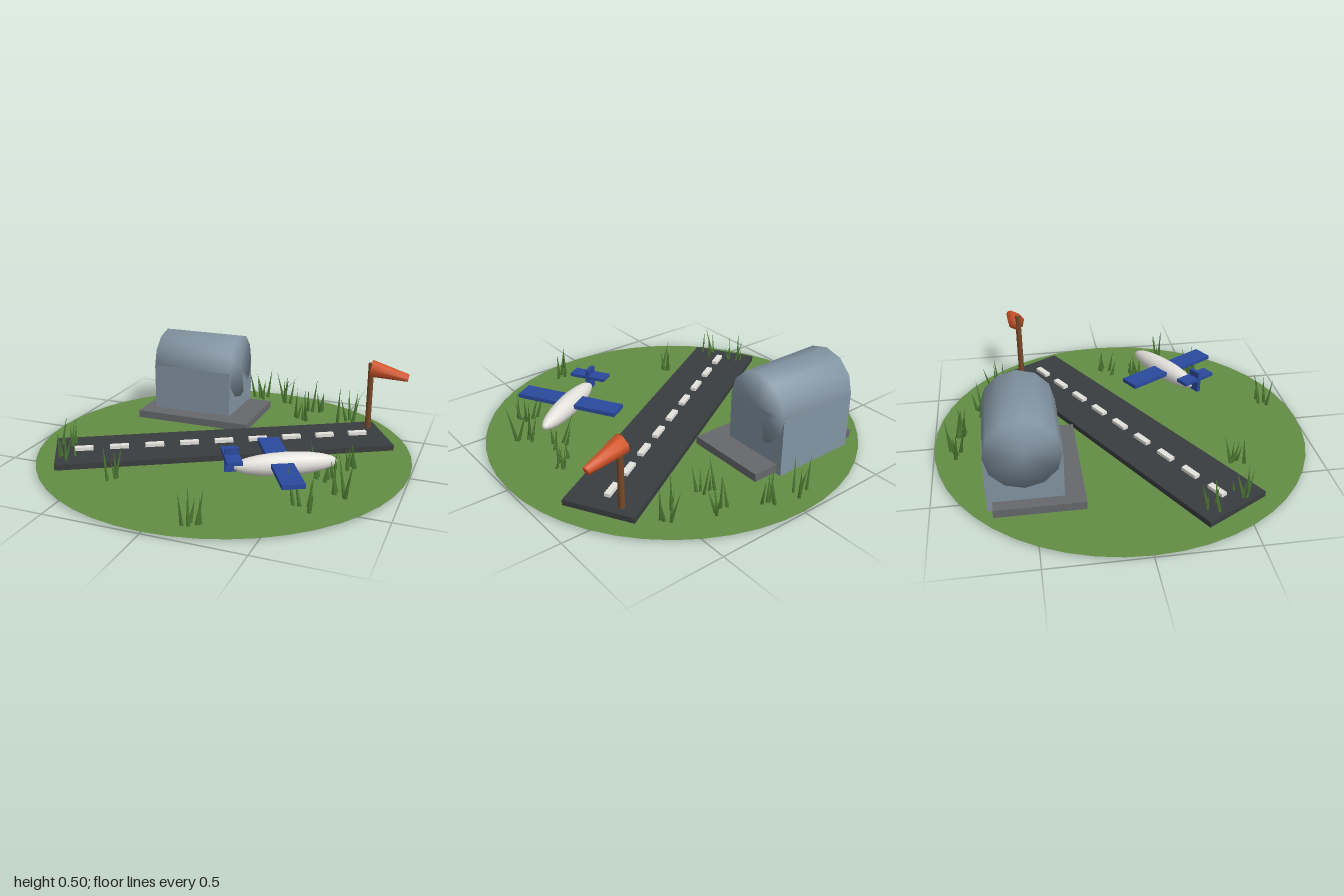
import * as THREE from 'three';
import { mergeVertices } from 'three/addons/utils/BufferGeometryUtils.js';

const mat = (name, color, extra = {}) => {
  const m = new THREE.MeshStandardMaterial({ color, ...extra });
  m.name = name;
  return m;
};

// Shares vertices so that shading runs smoothly over every edge
function smooth(geo) {
  geo.deleteAttribute('normal');
  geo.deleteAttribute('uv');
  const merged = mergeVertices(geo, 1e-4);
  merged.computeVertexNormals();
  return merged;
}

// Small seeded generator for the grass
function seeded(seed) {
  return () => {
    seed = (seed * 16807) % 2147483647;
    return seed / 2147483647;
  };
}

export function createModel() {
  const field = new THREE.Group();
  field.name = 'airfield';

  const green = mat('meadow green', 0x648c46, { side: THREE.DoubleSide });
  const asphalt = mat('asphalt', 0x3a3d3f);
  const white = mat('white paint', 0xe4e2dd);
  const concrete = mat('concrete', 0x66686b);
  const steel = mat('hangar steel', 0x8294a2);
  const blue = mat('wing blue', 0x2b4a9e);
  const wood = mat('pole brown', 0x7a4a28);
  const orange = mat('windsock orange', 0xd4562a);
  const grassGreen = mat('grass green', 0x4c7a32);

  function add(parent, name, geo, material, x = 0, y = 0, z = 0) {
    const m = new THREE.Mesh(geo, material);
    m.name = name;
    m.position.set(x, y, z);
    parent.add(m);
    return m;
  }
  const box = (w, h, d) => new THREE.BoxGeometry(w, h, d);

  // Round meadow
  add(field, 'ground', new THREE.CircleGeometry(1, 48).rotateX(-Math.PI / 2), green, 0, 0.01, 0);

  // Runway with centre line dashes
  const runway = new THREE.Group();
  runway.name = 'runway';
  runway.rotation.y = Math.PI / 6;
  field.add(runway);
  add(runway, 'runwaySlab', box(1.79, 0.03, 0.37), asphalt, 0, 0.035, 0);
  for (let i = -4; i <= 4; i++) {
    add(runway, 'centreDash', box(0.1, 0.018, 0.032), white, i * 0.187, 0.059, 0);
  }

  // Hangar: pad, walls and barrel roof
  const hangar = new THREE.Group();
  hangar.name = 'hangar';
  hangar.position.set(-0.343, 0, -0.542);
  field.add(hangar);
  add(hangar, 'pad', box(0.68, 0.042, 0.445), concrete, 0.038, 0.04, 0.064);
  add(hangar, 'walls', box(0.474, 0.32, 0.374), steel, 0, 0.16, 0);
  const barrel = new THREE.CylinderGeometry(0.187, 0.187, 0.474, 12).rotateZ(Math.PI / 2);
  add(hangar, 'roof', smooth(barrel), steel, 0, 0.315, 0);

  // Parked aeroplane, nose along local +x
  const plane = new THREE.Group();
  plane.name = 'aeroplane';
  plane.position.set(0.45, 0.13, 0.335);
  plane.rotation.y = Math.PI / 6;
  field.add(plane);
  const body = new THREE.SphereGeometry(1, 16, 12).rotateZ(-Math.PI / 2).scale(0.26, 0.058, 0.056);
  add(plane, 'fuselage', body, white);
  add(plane, 'wing', box(0.11, 0.022, 0.58), blue, -0.026, 0.013, 0);
  add(plane, 'tailplane', box(0.075, 0.018, 0.206), blue, -0.263, 0.058, 0);
  add(plane, 'fin', box(0.07, 0.12, 0.022), blue, -0.263, 0.04, 0);

  // Windsock: pole and tapered sock hanging to one side
  const windsock = new THREE.Group();
  windsock.name = 'windsock';
  field.add(windsock);
  add(windsock, 'pole', new THREE.CylinderGeometry(0.016, 0.016, 0.43, 8), wood, 0.68, 0.215, -0.503);
  const mouth = new THREE.Vector3(0.675, 0.395, -0.515);
  const tip = new THREE.Vector3(0.88, 0.352, -0.547);
  const along = tip.clone().sub(mouth);
  const sock = add(windsock, 'sock',
    smooth(new THREE.CylinderGeometry(0.022, 0.05, along.length(), 7)), orange);
  sock.position.copy(mouth).add(tip).multiplyScalar(0.5);
  sock.quaternion.setFromUnitVectors(new THREE.Vector3(0, 1, 0), along.normalize());

  // Grass tufts: thin leaning blades
  const rand = seeded(4711);
  const tufts = [
    [-0.08, -0.9], [0.09, -0.86], [0.3, -0.78], [0.53, -0.65], [0.265, -0.59],
    [0.68, 0.01], [0.62, 0.18], [0.74, 0.33], [0.59, 0.54], [0.18, 0.85],
    [-0.4, 0.56], [-0.76, 0.33], [-0.69, 0.5],
  ];
  const bladeGeo = new THREE.ConeGeometry(0.011, 1, 4).translate(0, 0.5, 0);
  for (const [x, z] of tufts) {
    const tuft = new THREE.Group();
    tuft.name = 'grassTuft';
    tuft.position.set(x, 0, z);
    field.add(tuft);
    for (let i = 0; i < 5; i++) {
      const blade = add(tuft, 'blade', bladeGeo, grassGreen,
        (rand() - 0.5) * 0.1, 0.002, (rand() - 0.5) * 0.08);
      blade.scale.y = 0.11 + rand() * 0.13;
      blade.rotation.set((rand() - 0.5) * 0.5, 0, (rand() - 0.5) * 0.5);
    }
  }

  return field;
}
